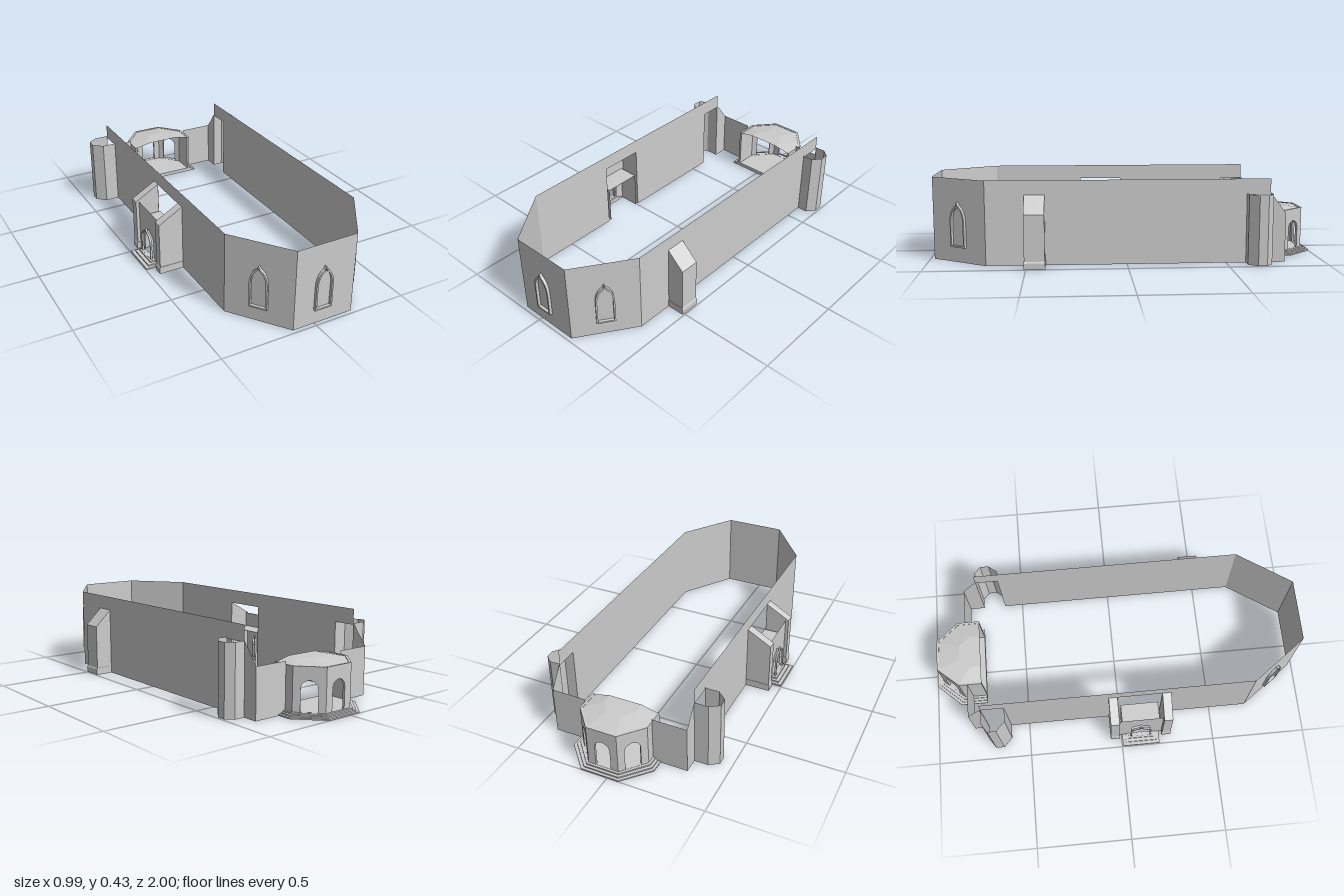
import * as THREE from 'three';

const stone = new THREE.MeshStandardMaterial({ color: 0xcccccc, side: THREE.DoubleSide, flatShading: true });
stone.name = 'stone';

function add(parent, name, geometry) {
  const mesh = new THREE.Mesh(geometry, stone);
  mesh.name = name;
  parent.add(mesh);
  return mesh;
}

const polygon = (pts) => new THREE.Shape(pts.map(([x, y]) => new THREE.Vector2(x, y)));

// Upright piece whose drawing runs along the ground from a to b
function upright(parent, name, a, b, shape, depth = 0) {
  const geometry = depth
    ? new THREE.ExtrudeGeometry(shape, { depth, bevelEnabled: false, curveSegments: 6 })
    : new THREE.ShapeGeometry(shape, 6);
  const mesh = add(parent, name, geometry);
  mesh.position.set(a[0], 0, a[1]);
  mesh.rotation.y = Math.atan2(a[1] - b[1], b[0] - a[0]);
  return mesh;
}

const span = (a, b) => Math.hypot(b[0] - a[0], b[1] - a[1]);
const rect = (w, h, y = 0) => polygon([[0, y], [w, y], [w, h], [0, h]]);

// Pointed or round arch outline
function arch(c, half, bottom, spring, top, round = false, Kind = THREE.Path) {
  const p = new Kind();
  const k = round ? 1 : 0.35;
  p.moveTo(c - half, bottom);
  p.lineTo(c + half, bottom);
  p.lineTo(c + half, spring);
  p.quadraticCurveTo(c + half, spring + (top - spring) * 0.62, c + half * k * 0.5, top - (round ? 0.008 : 0.018));
  p.lineTo(c, top);
  p.lineTo(c - half * k * 0.5, top - (round ? 0.008 : 0.018));
  p.quadraticCurveTo(c - half, spring + (top - spring) * 0.62, c - half, spring);
  p.lineTo(c - half, bottom);
  return p;
}

// Flat polygon slab in plan, from y0 up by height
function slab(parent, name, plan, y0, height) {
  const mesh = add(parent, name, new THREE.ExtrudeGeometry(
    polygon(plan.map(([x, z]) => [x, -z])), { depth: height, bevelEnabled: false }));
  mesh.rotation.x = -Math.PI / 2;
  mesh.position.y = y0;
}

// Buttress with sloping top and a plinth
function buttress(parent, x, outer, z0, z1, low) {
  const g = new THREE.Group();
  g.name = 'buttress';
  const out = Math.sign(outer - x) * 0.004;
  const w = z1 - z0;
  const body = add(g, 'buttressBody', new THREE.ExtrudeGeometry(
    polygon([[x, 0], [outer - out, 0], [outer - out, low], [x, 0.353]]), { depth: w - 0.004, bevelEnabled: false }));
  body.position.z = z0 + 0.002;
  const base = add(g, 'buttressPlinth', new THREE.ExtrudeGeometry(
    polygon([[x, 0], [outer, 0], [outer, 0.03], [outer - out, 0.038], [x, 0.038]]), { depth: w, bevelEnabled: false }));
  base.position.z = z0;
  parent.add(g);
}

export function createModel() {
  const model = new THREE.Group();
  model.name = 'chapel';
  const L = -0.32, R = 0.40, C = 0.04;

  // Long side walls: stepped rear end, openings for the turrets and the portal
  const rear = [[0, 0], [0, 0.25], [0.08, 0.355], [0.08, 0.425], [1.5, 0.425], [1.5, 0]];
  const turretGap = [[0.2, 0], [0.2, 0.345], [0.081, 0.345], [0.081, 0]];
  const portalGap = [[1.02, 0], [1.02, 0.35], [0.79, 0.35], [0.79, 0]];
  upright(model, 'portalSideWall', [L, -0.8], [L, 0.7], polygon([...rear, ...portalGap, ...turretGap]));
  upright(model, 'plainSideWall', [R, -0.8], [R, 0.7], polygon([...rear, ...turretGap]));

  // Three-sided front with pointed window frames
  const front = [[L, 0.7], [-0.115, 0.98], [0.21, 0.98], [R, 0.7]];
  for (let i = 0; i < 3; i++) {
    const a = front[i], b = front[i + 1], w = span(a, b);
    upright(model, 'frontWall', a, b, rect(w, 0.425));
    const c = i === 1 ? 0.153 : w / 2;
    const frame = arch(c, 0.046, 0.078, 0.2, 0.308, false, THREE.Shape);
    frame.holes.push(arch(c, 0.038, 0.086, 0.2, 0.297));
    upright(model, 'windowFrame', a, b, frame, 0.015);
  }

  // Open half-octagon turrets at the rear corners
  for (const [x, w] of [[L, -0.12], [R, 0.09]]) {
    const p = [[0, -0.6], [0.6, -0.6], [1, -0.645], [1, -0.69], [0.6, -0.722], [0, -0.722]].map(([k, z]) => [x + k * w, z]);
    for (let i = 0; i < 5; i++) upright(model, 'turretWall', p[i], p[i + 1], rect(span(p[i], p[i + 1]), 0.353));
  }

  // Buttresses
  buttress(model, R, 0.493, 0.405, 0.51, 0.268);
  buttress(model, L, -0.452, -0.06, -0.01, 0.28);
  buttress(model, L, -0.452, 0.22, 0.27, 0.28);

  // Side portal: vestibule, arched front and steps
  const portal = new THREE.Group();
  portal.name = 'portal';
  model.add(portal);
  const face = rect(0.23, 0.28);
  face.holes.push(arch(0.115, 0.05, 0.025, 0.11, 0.175));
  upright(portal, 'portalFront', [-0.432, -0.01], [-0.432, 0.22], face);
  const rim = arch(0.115, 0.055, 0.024, 0.11, 0.182, false, THREE.Shape);
  rim.holes.push(arch(0.115, 0.048, 0.025, 0.11, 0.173));
  upright(portal, 'portalArch', [-0.432, -0.01], [-0.432, 0.22], rim, 0.01).position.x -= 0.01;
  for (const z of [0.005, 0.205]) upright(portal, 'vestibuleSide', [-0.432, z], [L, z], rect(0.112, 0.2));
  slab(portal, 'vestibuleCeiling', [[-0.43, 0.005], [L, 0.005], [L, 0.205], [-0.43, 0.205]], 0.2, 0.002);
  for (let i = 0; i < 3; i++) {
    const x = -0.497 + i * 0.018, d = i * 0.016;
    slab(portal, 'portalStep', [[x, 0.005 + d], [-0.43, 0.005 + d], [-0.43, 0.205 - d], [x, 0.205 - d]], i * 0.008, 0.008);
  }

  // Rear wall on both sides of the porch
  upright(model, 'rearWall', [L, -0.8], [-0.14, -0.8], rect(0.18, 0.25));
  upright(model, 'rearWall', [0.22, -0.8], [R, -0.8], rect(0.18, 0.25));

  // Rear porch: three stepped plinths, arched walls, shallow faceted roof
  const porch = new THREE.Group();
  porch.name = 'porch';
  model.add(porch);
  const plan = (o) => [[-0.18 - o, -0.725], [-0.18 - o, -0.845 - o * 0.6], [-0.08 - o * 0.5, -0.96 - o],
    [0.08 + o * 0.5, -0.96 - o], [0.18 + o, -0.845 - o * 0.6], [0.18 + o, -0.725]].map(([x, z]) => [x + C, z]);
  [0.04, 0.026, 0.012].forEach((o, i) => slab(porch, 'porchStep', plan(o), i * 0.007, 0.007));
  const ring = plan(0);
  for (let i = 0; i < 5; i++) {
    const a = ring[i], b = ring[i + 1], w = span(a, b);
    const wall = rect(w, 0.235, 0.02);
    if (i > 0 && i < 4) wall.holes.push(arch(w / 2, 0.04, 0.022, 0.125, 0.172, true));
    upright(porch, 'porchWall', a, b, wall, 0.012);
  }

  // Roof rises from the eaves to a small flat crown
  const eave = plan(-0.008), crown = eave.map(([x, z]) => [C + (x - C) * 0.5, -0.72 + (z + 0.72) * 0.5]);
  const v = [];
  for (let i = 0; i < 5; i++) {
    const [a, b, c, d] = [[eave[i], 0.232], [eave[i + 1], 0.232], [crown[i + 1], 0.25], [crown[i], 0.25]]
      .map(([p, y]) => [p[0], y, p[1]]);
    v.push(...a, ...c, ...b, ...a, ...d, ...c);
  }
  for (let i = 1; i < 5; i++) {
    for (const k of [0, i + 1, i]) v.push(crown[k % 6][0], 0.25, crown[k % 6][1]);
  }
  // Corner order is reversed so the roof faces the sky
  for (let t = 0; t < v.length; t += 9) {
    const nx = (v[t + 5] - v[t + 2]) * (v[t + 6] - v[t]) - (v[t + 3] - v[t]) * (v[t + 8] - v[t + 2]);
    if (nx < 0) for (let k = 0; k < 3; k++) [v[t + 3 + k], v[t + 6 + k]] = [v[t + 6 + k], v[t + 3 + k]];
  }
  const roof = new THREE.BufferGeometry();
  roof.setAttribute('position', new THREE.Float32BufferAttribute(v, 3));
  roof.computeVertexNormals();
  add(porch, 'porchRoof', roof);

  return model;
}
